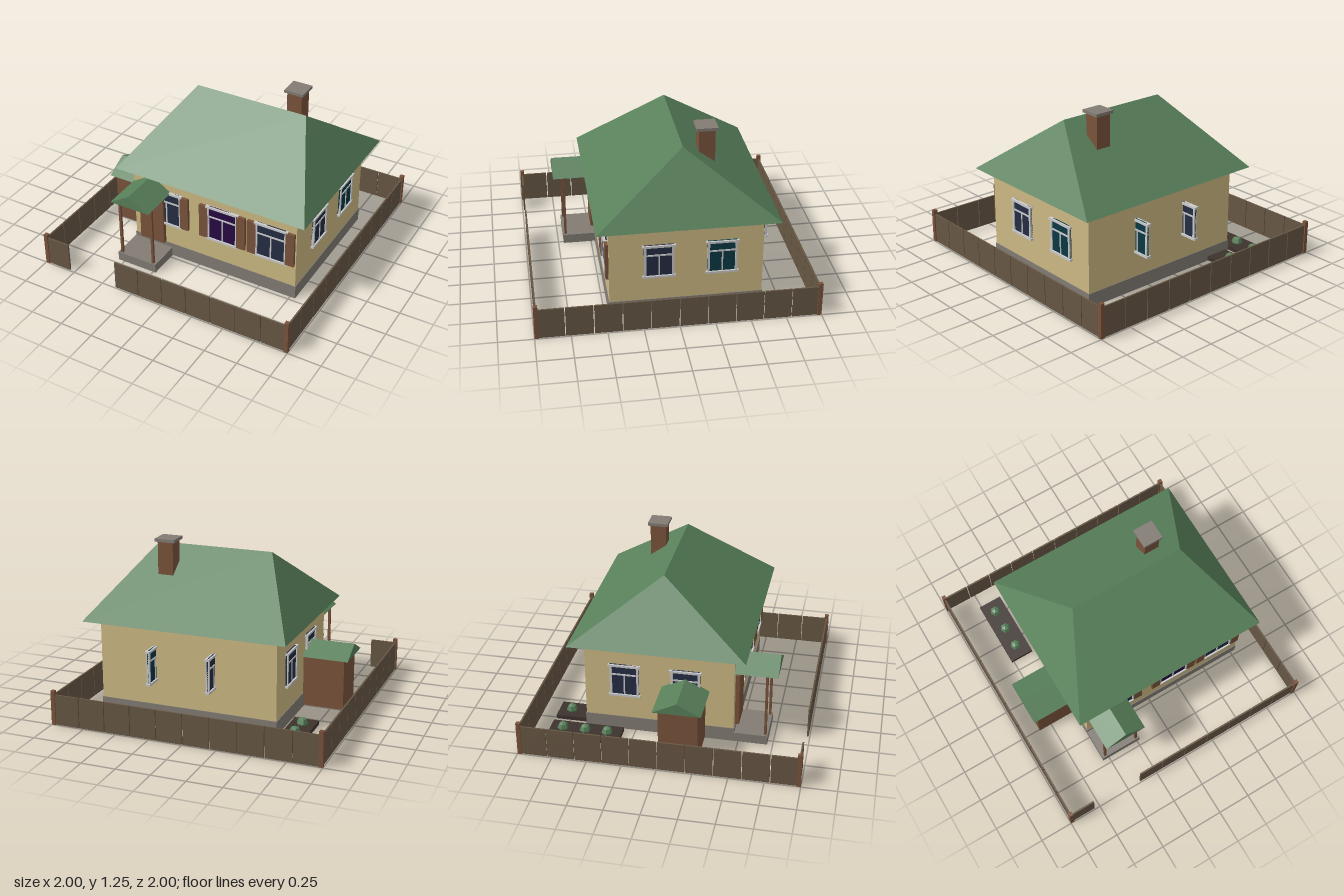
import * as THREE from 'three';

const mat = (name, color, side = THREE.FrontSide) => {
  const m = new THREE.MeshStandardMaterial({ color, side });
  m.name = name;
  return m;
};

export function createModel() {
  const model = new THREE.Group();
  model.name = 'cottage';

  const wall = mat('plasterYellow', 0xcdba84);
  const green = mat('roofGreen', 0x58805a);
  const brown = mat('woodBrown', 0x7a533b);
  const fenceWood = mat('fenceWood', 0x675744);
  const grey = mat('stoneGrey', 0x827c74);
  const white = mat('trimWhite', 0xcbcbcb);
  const navy = mat('glassNavy', 0x252d44);
  const teal = mat('glassTeal', 0x0b3843);
  const purple = mat('glassPurple', 0x270a44);
  const soil = mat('soil', 0x3d332d);

  const add = (name, geo, material, parent = model) => {
    const mesh = new THREE.Mesh(geo, material);
    mesh.name = name;
    parent.add(mesh);
    return mesh;
  };

  // Box given by its extents on each axis
  const box = (name, material, [x0, x1], [y0, y1], [z0, z1], parent) => {
    const geo = new THREE.BoxGeometry(x1 - x0, y1 - y0, z1 - z0);
    geo.translate((x0 + x1) / 2, (y0 + y1) / 2, (z0 + z1) / 2);
    return add(name, geo, material, parent);
  };

  // Roof: a box whose top face is drawn together into a ridge
  const roof = (name, x, y, z, ridgeX, ridgeZ) => {
    const mesh = box(name, green, x, y, z);
    const p = mesh.geometry.attributes.position;
    const mid = (y[0] + y[1]) / 2, mx = (x[0] + x[1]) / 2, mz = (z[0] + z[1]) / 2;
    for (let i = 0; i < p.count; i++) {
      if (p.getY(i) < mid) continue;
      p.setX(i, ridgeX[p.getX(i) < mx ? 0 : 1]);
      p.setZ(i, ridgeZ[p.getZ(i) < mz ? 0 : 1]);
    }
    mesh.geometry.computeVertexNormals();
  };

  // House body, hip roof and chimney
  box('foundation', grey, [-0.55, 0.79], [0, 0.105], [-0.62, 0.47]);
  box('houseWalls', wall, [-0.545, 0.785], [0.105, 0.7], [-0.615, 0.465]);
  roof('mainRoof', [-0.64, 0.88], [0.695, 1.16], [-0.72, 0.555], [-0.315, 0.56], [-0.08, -0.08]);
  box('chimney', brown, [0.347, 0.463], [0.8, 1.225], [-0.323, -0.207]);
  box('chimneyCap', grey, [0.33, 0.48], [1.225, 1.247], [-0.34, -0.19]);

  // Window centred on its own origin, with a T-shaped glazing bar and sills
  const makeWindow = (name, w, h, glass, x, y, z, turn = 0) => {
    const g = new THREE.Group();
    g.name = name;
    const a = w / 2, b = h / 2, t = 0.016, d = [-0.013, 0.013], bar = h * 0.19;
    box('glass', glass, [-a, a], [-b, b], [-0.005, 0.005], g);
    for (const s of [-1, 1]) {
      const e = s * (a - t / 2);
      box('frameSide', white, [e - t / 2, e + t / 2], [-b, b], d, g);
      const v = s * (b - t / 2);
      box('sill', white, [-a - 0.01, a + 0.01], [v - t / 2, v + t / 2], [-0.017, 0.017], g);
    }
    box('crossbar', white, [-a, a], [bar - 0.006, bar + 0.006], [-0.01, 0.01], g);
    box('mullion', white, [-0.005, 0.005], [-b, bar], [-0.01, 0.01], g);
    g.position.set(x, y, z);
    g.rotation.y = turn;
    model.add(g);
  };

  // Front windows with open shutters
  [[-0.265, navy], [0.2, purple], [0.59, navy]].forEach(([x, glass]) => {
    makeWindow('frontWindow', 0.245, 0.29, glass, x, 0.421, 0.47);
    for (const s of [-1, 1]) {
      const c = x + s * 0.152;
      box('shutter', brown, [c - 0.034, c + 0.034], [0.287, 0.56], [0.46, 0.487]);
    }
  });

  // Side windows
  for (const [x, turn, rear] of [[0.79, Math.PI / 2, teal], [-0.55, -Math.PI / 2, navy]]) {
    makeWindow('sideWindow', 0.21, 0.256, navy, x, 0.415, 0.117, turn);
    makeWindow('sideWindow', 0.21, 0.256, rear, x, 0.415, -0.325, turn);
  }

  // Back windows stand out at right angles to the wall
  makeWindow('backWindow', 0.21, 0.256, teal, 0.363, 0.415, -0.635, Math.PI / 2);
  makeWindow('backWindow', 0.21, 0.256, navy, -0.085, 0.415, -0.635, Math.PI / 2);

  // Porch: step, door, posts and gable roof
  box('porchStep', grey, [-0.55, -0.23], [0, 0.07], [0.47, 0.71]);
  box('door', brown, [-0.487, -0.285], [0.105, 0.51], [0.46, 0.495]);
  for (const x of [-0.523, -0.257]) {
    box('porchPost', brown, [x - 0.009, x + 0.009], [0.06, 0.562], [0.683, 0.701]);
  }
  roof('porchRoof', [-0.55, -0.23], [0.56, 0.66], [0.46, 0.77], [-0.39, -0.39], [0.46, 0.77]);

  // Lean-to shed on the right-hand side
  box('shed', brown, [-0.85, -0.54], [0.01, 0.4], [-0.02, 0.26]);
  roof('shedRoof', [-0.885, -0.545], [0.393, 0.48], [-0.055, 0.29], [-0.885, -0.545], [0.118, 0.118]);

  // Garden beds with round plants
  box('gardenBed', soil, [-0.765, -0.585], [0.005, 0.035], [-0.855, -0.33]);
  box('gardenBed', soil, [-0.522, -0.34], [0.005, 0.035], [-0.855, -0.615]);
  for (const [x, z] of [[-0.675, -0.76], [-0.675, -0.595], [-0.675, -0.432], [-0.432, -0.76]]) {
    const geo = new THREE.SphereGeometry(0.042, 6, 4).toNonIndexed();
    geo.computeVertexNormals();
    add('plant', geo, green).position.set(x, 0.045, z);
  }

  // Fence of ten panels a side, with a gateway at the front
  const R = 0.985, step = (2 * R) / 10;
  for (let side = 0; side < 4; side++) {
    const g = new THREE.Group();
    g.name = 'fenceSide';
    g.rotation.y = (side * Math.PI) / 2;
    for (let i = 0; i < 10; i++) {
      if (side === 0 && (i === 1 || i === 2)) continue;
      const x = -R + i * step;
      box('fencePanel', fenceWood, [x + 0.003, x + step - 0.003], [0, 0.225], [R - 0.006, R + 0.006], g);
    }
    box('cornerPost', brown, [R - 0.015, R + 0.015], [0, 0.255], [R - 0.015, R + 0.015], g);
    model.add(g);
  }

  return model;
}
